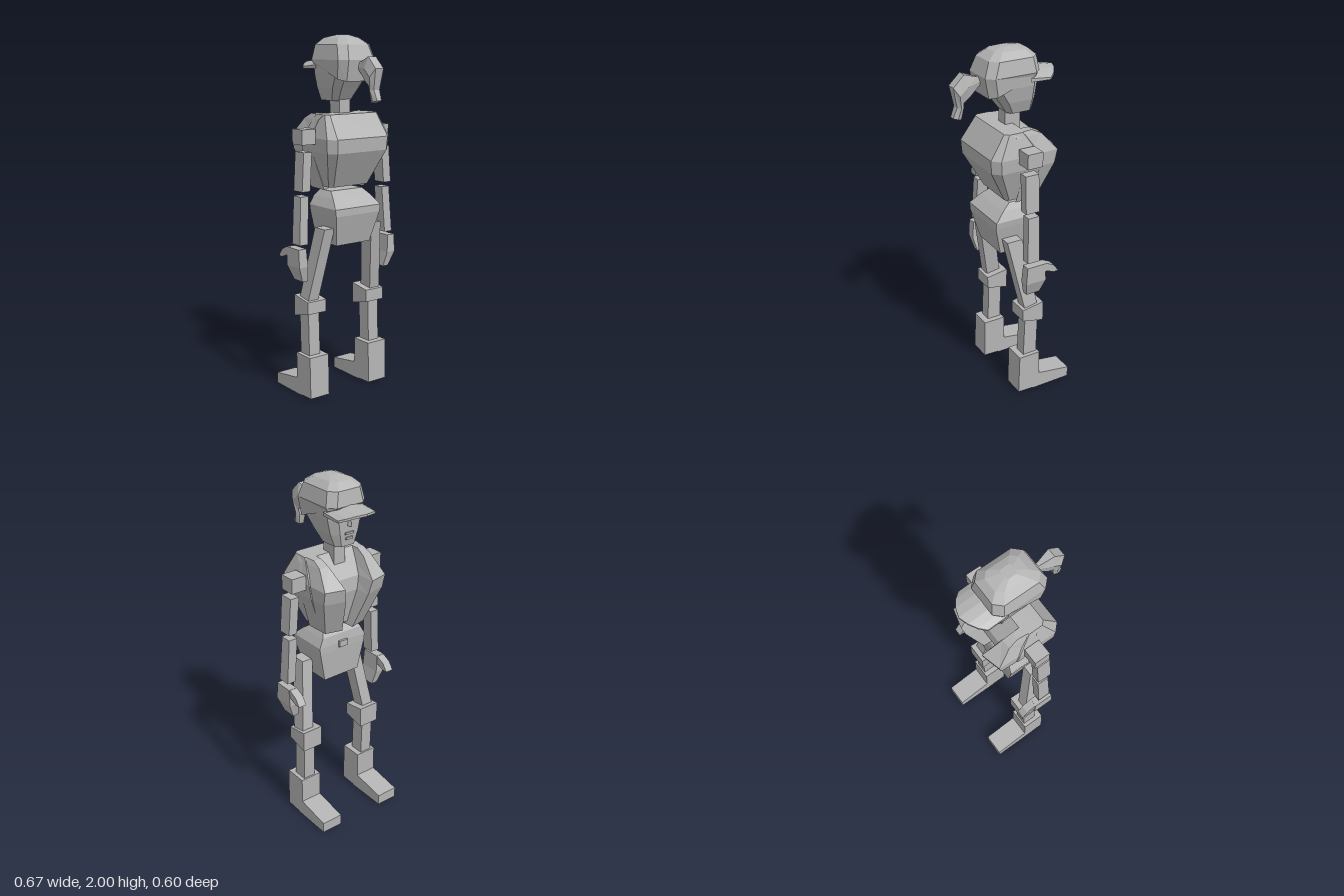
import * as THREE from 'three';

const grey = new THREE.MeshStandardMaterial({ color: 0xb4b4b4 });
grey.name = 'plain grey';

// Closed faceted solid through a list of equal-sized cross-sections
function loft(name, rings, mirror = 1) {
  const n = rings[0].length, pos = rings.flat().flatMap(([x, y, z]) => [x * mirror, y, z]);
  const tris = [];
  for (let r = 0; r < rings.length - 1; r++) {
    for (let i = 0; i < n; i++) {
      const a = r * n + i, b = r * n + (i + 1) % n;
      tris.push([a, b, b + n], [a, b + n, a + n]);
    }
  }
  const last = (rings.length - 1) * n;
  for (let i = 1; i < n - 1; i++) tris.push([0, i + 1, i], [last, last + i, last + i + 1]);
  // Turn the faces outward whatever order the sections came in
  const v = (i) => new THREE.Vector3().fromArray(pos, i * 3);
  const volume = tris.reduce((s, [a, b, c]) => s + v(a).dot(v(b).cross(v(c))), 0);
  if (volume < 0) tris.forEach((t) => t.reverse());
  const indexed = new THREE.BufferGeometry();
  indexed.setAttribute('position', new THREE.Float32BufferAttribute(pos, 3));
  indexed.setIndex(tris.flat());
  const geo = indexed.toNonIndexed();
  geo.computeVertexNormals();
  const mesh = new THREE.Mesh(geo, grey);
  mesh.name = name;
  return mesh;
}

// Rectangular section at height y
const rect = (y, x0, x1, z0, z1) => [[x0, y, z0], [x1, y, z0], [x1, y, z1], [x0, y, z1]];

// Section with cut corners; slope tilts it from front to back
function oct(y, w, zf, zb, c, slope = 0) {
  const pts = [[w - c, zf], [w, zf + c], [w, zb - c], [w - c, zb],
    [c - w, zb], [-w, zb - c], [-w, zf + c], [c - w, zf]];
  return pts.map(([x, z]) => [x, y + slope * z, z]);
}

// Side outline of [z, y] points given a width between x0 and x1
const slab = (name, outline, x0, x1, m) =>
  loft(name, [x0, x1].map((x) => outline.map(([z, y]) => [x, y, z])), m);

function box(name, w, h, d, x, y, z, rz = 0) {
  const mesh = new THREE.Mesh(new THREE.BoxGeometry(w, h, d), grey);
  mesh.name = name;
  mesh.position.set(x, y, z);
  mesh.rotation.z = rz;
  return mesh;
}

function buildHead() {
  const g = new THREE.Group();
  g.name = 'head';
  g.add(loft('neck', [rect(1.5, -.036, .036, -.085, .005), rect(1.68, -.036, .036, -.085, .005)]));
  g.add(loft('face', [
    oct(1.65, .065, -.15, -.0, .025), oct(1.72, .092, -.16, .05, .035),
    oct(1.80, .11, -.165, .11, .04), oct(1.87, .115, -.16, .125, .04),
  ]));
  // Cap, low at the nape and high over the brow
  g.add(loft('cap', [
    oct(1.803, .115, -.165, .125, .035, -.36), oct(1.87, .124, -.17, .148, .04),
    oct(1.95, .108, -.158, .118, .04), oct(1.985, .07, -.12, .07, .03), oct(2, .03, -.05, .02, .015),
  ]));
  g.add(loft('brim', [-.12, -.09, -.05, 0, .05, .09, .12].map((x) => {
    const t = Math.abs(x) / .12, front = -.3 + .035 * t + .045 * t ** 3, back = -.16 + .06 * t * t;
    const y = 1.862 - .032 * t * t;
    return [[x, y + .012, back], [x, y, front], [x, y - .012, front], [x, y - .008, back]];
  })));
  // Facial features
  g.add(loft('nose', [
    [[-.008, 1.81, -.163], [.008, 1.81, -.163], [0, 1.81, -.168]],
    [[-.018, 1.762, -.155], [.018, 1.762, -.155], [0, 1.762, -.185]],
  ]));
  g.add(box('upperLip', .055, .011, .02, 0, 1.723, -.158));
  g.add(box('lowerLip', .042, .012, .02, 0, 1.695, -.157));
  for (const s of [-1, 1]) {
    g.add(box('eye', .038, .014, .009, s * .043, 1.802, -.164));
    g.add(box('eyebrow', .05, .009, .009, s * .045, 1.828, -.164, s * .12));
  }
  // Ponytail: [outer z, outer y, inner z, inner y, half width]
  const tail = [[.13, 1.865, .13, 1.82, .015], [.155, 1.862, .155, 1.80, .016],
    [.235, 1.89, .205, 1.765, .042], [.297, 1.83, .24, 1.74, .044],
    [.275, 1.72, .237, 1.71, .032], [.297, 1.665, .25, 1.65, .025]];
  g.add(loft('ponytail', tail.map(([oz, oy, iz, iy, w]) =>
    [[-w * .6, oy, oz], [w * .6, oy, oz], [w, (oy + iy) / 2, (oz + iz) / 2],
      [w * .6, iy, iz], [-w * .6, iy, iz], [-w, (oy + iy) / 2, (oz + iz) / 2]])));
  return g;
}

function buildTorso() {
  const g = new THREE.Group();
  g.name = 'torso';
  g.add(loft('upperBody', [
    oct(1.19, .135, -.11, .055, .02), oct(1.385, .205, -.15, .16, .04),
    oct(1.46, .21, -.14, .165, .04), oct(1.585, .177, -.04, .08, .02),
  ]));
  // Open jacket fronts
  for (const s of [-1, 1]) {
    g.add(loft('jacketFront', [
      [[.138, 1.172, 0], [.13, 1.172, -.13], [.035, 1.172, -.155], [.03, 1.172, -.08]],
      [[.205, 1.385, -.02], [.196, 1.385, -.205], [.075, 1.385, -.235], [.06, 1.385, -.08]],
      [[.21, 1.46, -.02], [.2, 1.46, -.22], [.09, 1.46, -.248], [.08, 1.46, -.08]],
      [[.188, 1.558, .02], [.17, 1.558, -.135], [.115, 1.558, -.14], [.11, 1.558, .03]],
      [[.177, 1.585, .05], [.165, 1.585, -.08], [.12, 1.585, -.085], [.118, 1.585, .05]],
    ], s));
  }
  // Hips and belt buckle
  g.add(loft('pelvis', [
    rect(.87, -.115, .115, -.105, .08), rect(1.04, -.15, .15, -.115, .125),
    rect(1.08, -.155, .155, -.115, .125), rect(1.13, -.13, .13, -.108, .07),
    rect(1.165, -.108, .108, -.08, .02),
  ]));
  g.add(box('beltBuckle', .055, .036, .02, 0, 1.072, -.117));
  return g;
}

function buildArm(s) {
  const g = new THREE.Group();
  g.name = s > 0 ? 'leftArm' : 'rightArm';
  g.add(box('shoulder', .09, .082, .09, s * .252, 1.469, -.025));
  g.add(loft('upperArm', [rect(1.39, .24, .293, -.05, .03), rect(1.18, .255, .307, -.047, .033)], s));
  g.add(loft('forearm', [rect(1.152, .255, .307, -.048, .018), rect(.89, .27, .322, -.045, .028)], s));
  g.add(loft('hand', [
    rect(.87, .285, .335, -.075, .035), rect(.77, .28, .335, -.08, .042), rect(.685, .265, .302, -.06, .022),
  ], s));
  g.add(slab('thumb', [[-.06, .87], [-.085, .868], [-.132, .845], [-.162, .803], [-.13, .802], [-.09, .82], [-.06, .82]],
    .285, .332, s));
  return g;
}

function buildLeg(s) {
  const g = new THREE.Group();
  g.name = s > 0 ? 'leftLeg' : 'rightLeg';
  g.add(loft('thigh', [rect(.97, .128, .195, -.01, .08), rect(.54, .186, .255, -.085, -.002)], s));
  g.add(slab('knee', [[.02, .56], [-.11, .58], [-.11, .46], [.02, .49]], .143, .267, s));
  g.add(loft('shin', [rect(.5, .175, .247, -.087, -.005), rect(.23, .175, .247, -.08, .004)], s));
  // Boot: upright ankle and long toe
  g.add(slab('ankle', [[.04, .245], [-.09, .245], [-.09, .003], [.046, .008]], .143, .27, s));
  g.add(slab('toe', [[-.05, .1], [-.09, .095], [-.292, .063], [-.292, 0], [-.05, 0]], .143, .27, s));
  return g;
}

export function createModel() {
  const model = new THREE.Group();
  model.name = 'figure';
  model.add(buildHead(), buildTorso());
  for (const s of [-1, 1]) model.add(buildArm(s), buildLeg(s));
  return model;
}
